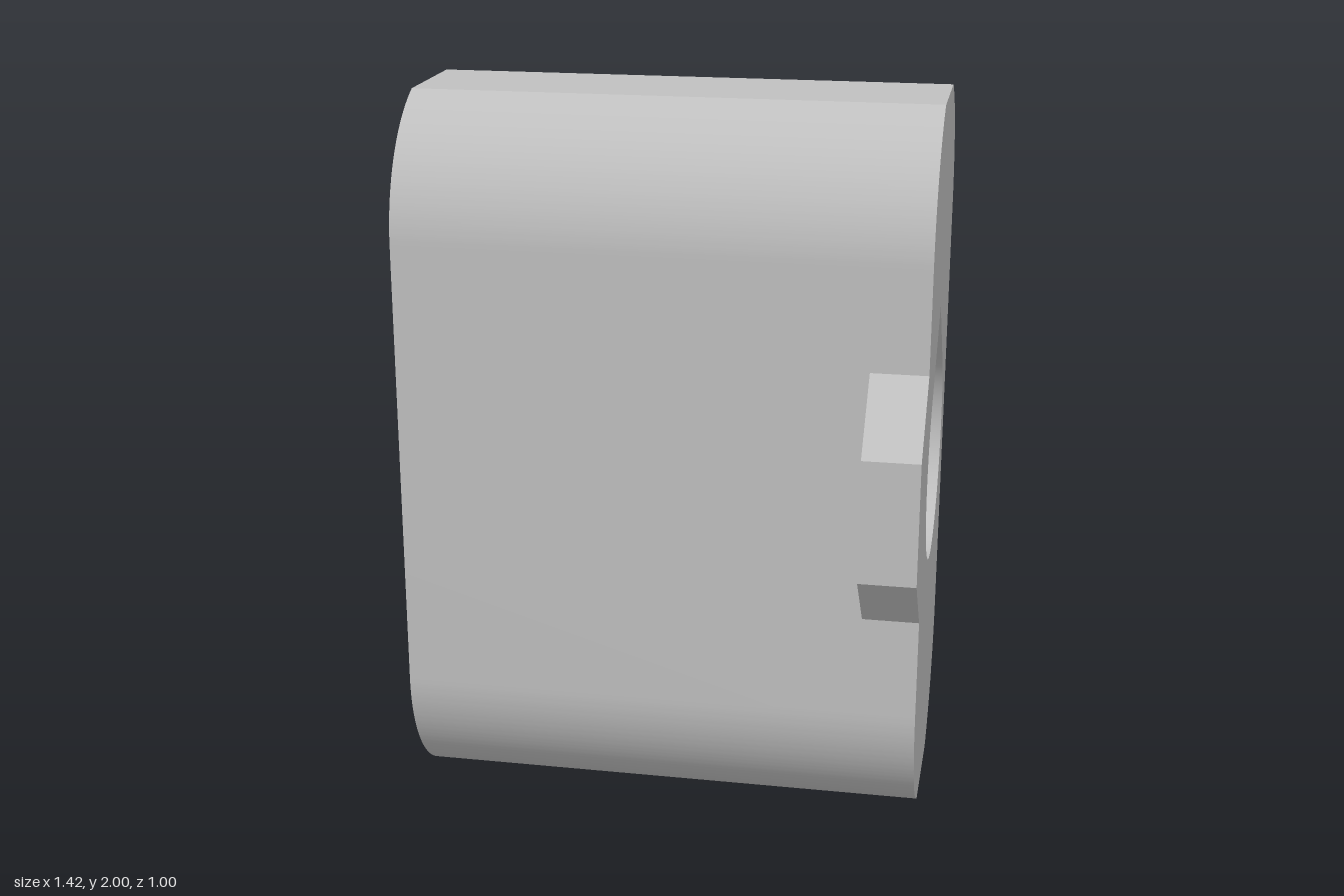
import * as THREE from 'three';
import { toCreasedNormals } from 'three/addons/utils/BufferGeometryUtils.js';

// Profiles are drawn in (u, v) = (-z, y) and run along x.
const HALF = 0.7125, TAB_X = 0.56, STEP_X = -0.35;
const CENTRE = 0.09, RADIUS = 0.41, ARC_V = 0.376;
const TAB = [[-0.32, 1.347], [-0.5, 1.17], [-0.5, 0.835], [-0.32, 0.658]];

// Rounded block with flats cut on top and bottom, optionally with the tab
function blockShape(withTab) {
  const a = Math.acos(ARC_V / RADIUS), P = Math.PI;
  const s = new THREE.Shape();
  s.absarc(CENTRE, ARC_V, RADIUS, P, 1.5 * P - a);
  s.absarc(CENTRE, ARC_V, RADIUS, 1.5 * P + a, 2 * P);
  s.absarc(CENTRE, 2 - ARC_V, RADIUS, 0, P / 2 - a);
  s.absarc(CENTRE, 2 - ARC_V, RADIUS, P / 2 + a, P);
  if (withTab) TAB.forEach(([u, v]) => s.lineTo(u, v));
  return s;
}

// Teardrop bore with a 45 degree roof
function teardrop(r) {
  const s = new THREE.Shape();
  s.absarc(CENTRE, 1, r, 0.75 * Math.PI, 2.25 * Math.PI);
  s.lineTo(CENTRE, 1 + r * Math.SQRT2);
  return s;
}

// Walls swept along x; counter-clockwise points face outwards
function walls(pts, x0, x1, closed = true) {
  const pos = [];
  for (let i = 0; i < pts.length - (closed ? 0 : 1); i++) {
    const a = pts[i], b = pts[(i + 1) % pts.length];
    pos.push(a.x, a.y, x0, b.x, b.y, x0, b.x, b.y, x1);
    pos.push(a.x, a.y, x0, b.x, b.y, x1, a.x, a.y, x1);
  }
  const g = new THREE.BufferGeometry();
  g.setAttribute('position', new THREE.Float32BufferAttribute(pos, 3));
  return toCreasedNormals(g, 0.35).rotateY(Math.PI / 2);
}

// Flat face at x, looking towards +x or -x
function cap(shape, x, dir, hole) {
  if (hole) shape.holes.push(hole);
  const g = new THREE.ShapeGeometry(shape, 32);
  if (dir < 0) {
    const idx = g.index.array;
    for (let i = 0; i < idx.length; i += 3) [idx[i], idx[i + 1]] = [idx[i + 1], idx[i]];
    g.computeVertexNormals();
  }
  return g.translate(0, 0, x).rotateY(Math.PI / 2);
}

export function createModel() {
  const group = new THREE.Group();
  const grey = new THREE.MeshStandardMaterial({ color: 0xbfbfbf });
  grey.name = 'grey';
  const add = (name, geometry) => {
    const mesh = new THREE.Mesh(geometry, grey);
    mesh.name = name;
    group.add(mesh);
  };
  const wide = teardrop(0.3), narrow = teardrop(0.162);
  const inward = (shape) => shape.getPoints(32).reverse();
  const tabPoints = TAB.map(([u, v]) => new THREE.Vector2(u, v));

  // Block
  add('blockSides', walls(blockShape(false).getPoints(32), -HALF, HALF));
  add('rightEnd', cap(blockShape(true), HALF, 1, wide));
  add('leftEnd', cap(blockShape(false), -HALF, -1, narrow));

  // Stepped bore
  add('wideBore', walls(inward(wide), STEP_X, HALF));
  add('narrowBore', walls(inward(narrow), -HALF, STEP_X));
  add('boreStep', cap(teardrop(0.3), STEP_X, 1, narrow));

  // Locating tab
  add('tabSides', walls(tabPoints, TAB_X, HALF, false));
  add('tabBack', cap(new THREE.Shape(tabPoints), TAB_X, -1));
  return group;
}
